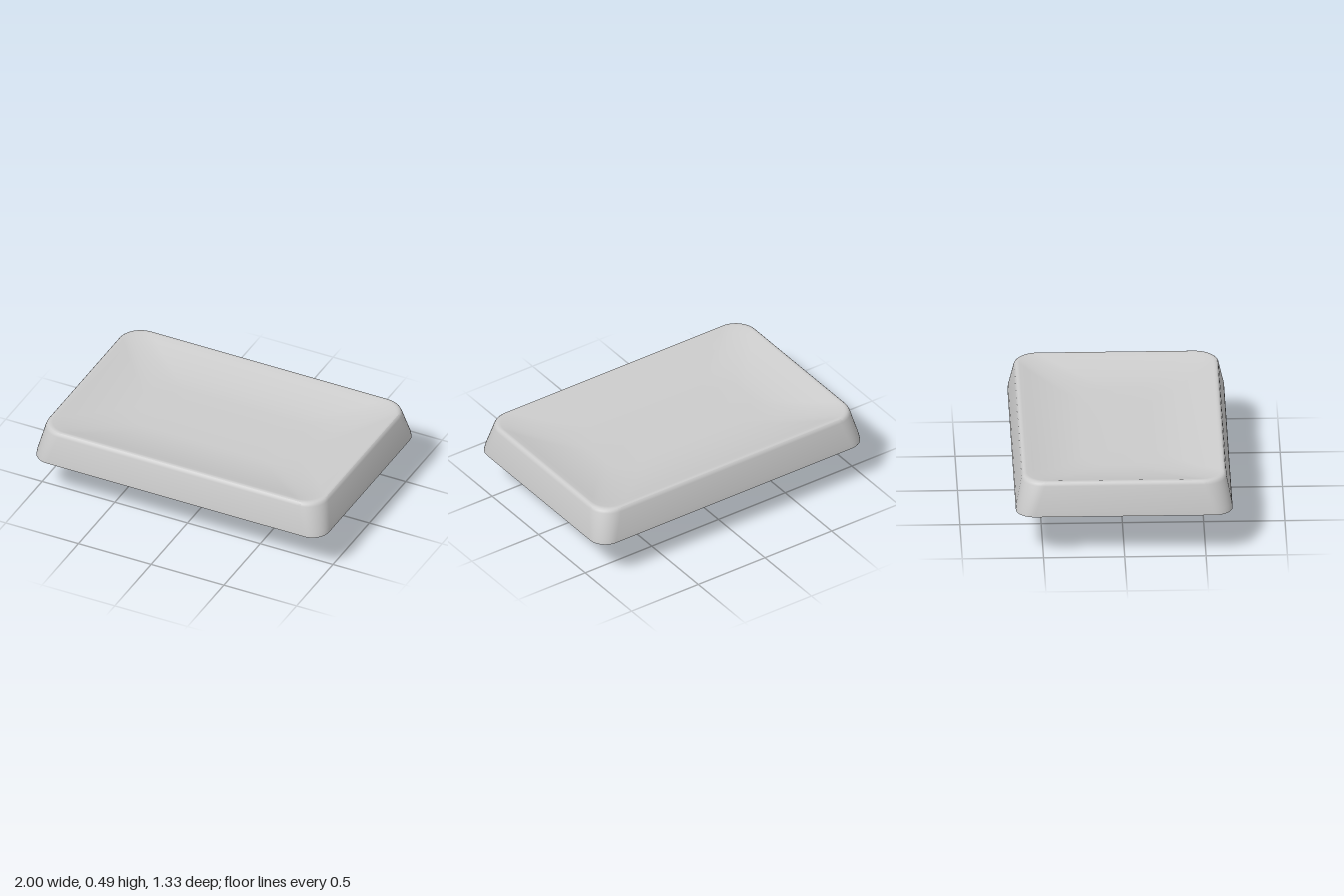
import * as THREE from 'three';
import { toCreasedNormals } from 'three/addons/utils/BufferGeometryUtils.js';

const CORNER_STEPS = 10;

// Rounded-rectangle ring of half-size hx by hz, corner radius r, at height y
function ring([hx, hz, r, y]) {
  const points = [];
  const signs = [[1, 1], [-1, 1], [-1, -1], [1, -1]];
  signs.forEach(([sx, sz], corner) => {
    for (let i = 0; i <= CORNER_STEPS; i++) {
      const a = (corner + i / CORNER_STEPS) * Math.PI / 2;
      points.push([sx * (hx - r) + r * Math.cos(a), y, sz * (hz - r) + r * Math.sin(a)]);
    }
  });
  return points;
}

// Skin a sequence of rings into one closed surface
function loft(sections, crease) {
  const rings = sections.map(ring);
  const n = rings[0].length;
  const index = [];
  for (let i = 0; i < rings.length - 1; i++) {
    for (let j = 0; j < n; j++) {
      const k = (j + 1) % n;
      const a = i * n + j, b = i * n + k;
      index.push(a, a + n, b, b, a + n, b + n);
    }
  }
  const geometry = new THREE.BufferGeometry();
  geometry.setAttribute('position', new THREE.Float32BufferAttribute(rings.flat(2), 3));
  geometry.setIndex(index);
  return toCreasedNormals(geometry, crease);
}

export function createModel() {
  const model = new THREE.Group();
  model.name = 'keycap';
  const material = new THREE.MeshStandardMaterial({ color: 0xcccccc });

  // Underside pocket, shallow recess, outer wall and rounded rim
  const sections = [
    [0.18, 0, 0, 0.385],
    [0.33, 0.15, 0.005, 0.385],
    [0.33, 0.15, 0.005, 0.33],
    [0.92, 0.587, 0.07, 0.33],
    [0.92, 0.587, 0.07, 0.275],
    [1.0, 0.667, 0.115, 0.275],
    [0.996, 0.663, 0.12, 0.31],
    [0.964, 0.631, 0.14, 0.465],
    [0.959, 0.626, 0.14, 0.479],
    [0.951, 0.618, 0.138, 0.487],
    [0.94, 0.607, 0.135, 0.49],
    [0.929, 0.596, 0.132, 0.488],
  ];
  // Dished top sinking to a nearly flat central patch
  const dishSteps = 10;
  for (let i = 1; i <= dishSteps; i++) {
    const t = i / dishSteps;
    const inset = 0.386 * t;
    sections.push([0.929 - inset, 0.596 - inset, 0.132 + 0.058 * t, 0.488 - 0.068 * (1 - (1 - t) ** 1.8)]);
  }
  sections.push([0.333, 0, 0, 0.416]);
  const cap = new THREE.Mesh(loft(sections, 0.5), material);
  cap.name = 'cap';
  model.add(cap);

  // Two prongs with a waisted cross-section and softened tips
  const bevel = 0.01;
  const quarter = [[0.053, 0.13], [0.053, 0.05], [0.036, 0.038]];
  const side = [...quarter, ...quarter.map(([x, z]) => [x, -z]).reverse()];
  const outline = [...side, ...side.map(([x, z]) => [-x, -z])]
    .map(([x, z]) => new THREE.Vector2(x - Math.sign(x) * bevel, z - Math.sign(z) * bevel));
  const prongGeometry = new THREE.ExtrudeGeometry(new THREE.Shape(outline), {
    depth: 0.375, bevelSize: bevel, bevelThickness: bevel, bevelSegments: 3,
  });
  prongGeometry.rotateX(-Math.PI / 2);
  prongGeometry.translate(0, bevel, 0);
  for (const sign of [1, -1]) {
    const prong = new THREE.Mesh(prongGeometry, material);
    prong.name = sign > 0 ? 'leftProng' : 'rightProng';
    prong.position.x = sign * 0.254;
    model.add(prong);
  }
  return model;
}
